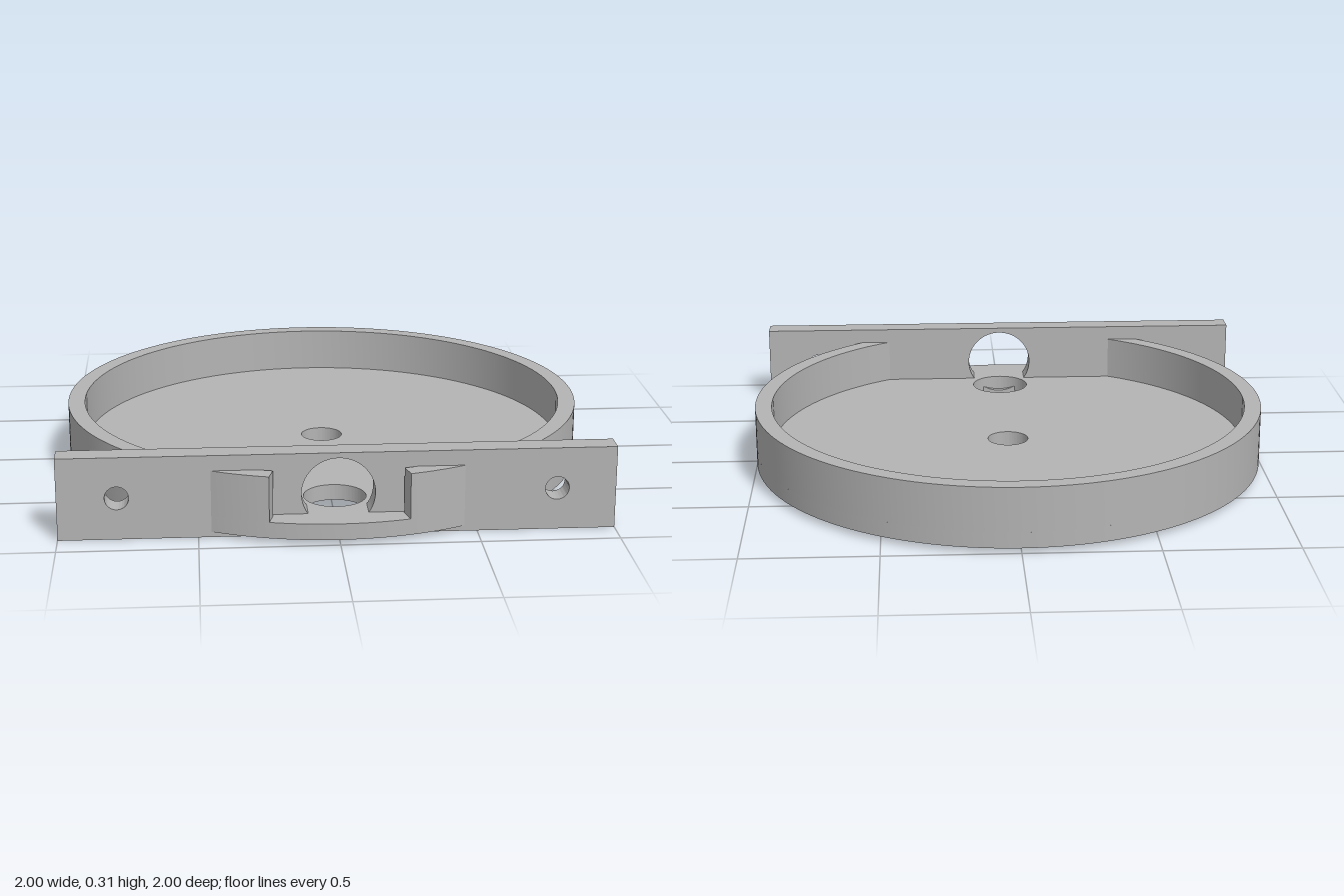
import * as THREE from 'three';
import { toCreasedNormals } from 'three/addons/utils/BufferGeometryUtils.js';

const circle = (x, y, r) => new THREE.Path().absarc(x, y, r, 0, Math.PI * 2, false);

// Extrudes a shape by depth, keeping curved sides smooth and edges sharp
function slab(shape, depth) {
  const geometry = new THREE.ExtrudeGeometry(shape, { depth, bevelEnabled: false, curveSegments: 96 });
  return toCreasedNormals(geometry, 0.5);
}

export function createModel() {
  const group = new THREE.Group();
  const grey = new THREE.MeshStandardMaterial({ color: 0xb4b4b4 });
  grey.name = 'plain grey';

  const add = (name, geometry) => {
    const mesh = new THREE.Mesh(geometry, grey);
    mesh.name = name;
    group.add(mesh);
    return mesh;
  };

  // Dish floor: disc with a centre hole and an outlet hole next to the plate
  const floor = new THREE.Shape().absarc(0, 0, 1, 0, Math.PI * 2, false);
  floor.holes.push(circle(0, 0, 0.08), circle(0, -0.71, 0.115));
  add('dishFloor', slab(floor, 0.06).rotateX(-Math.PI / 2).translate(0, 0.02, 0));

  // Dish wall: ring left open at the front, with radial ends
  const halfGap = THREE.MathUtils.degToRad(14.5);
  const start = -Math.PI / 2 + halfGap;
  const end = Math.PI * 1.5 - halfGap;
  const wall = new THREE.Shape();
  wall.absarc(0, 0, 1, start, end, false);
  wall.absarc(0, 0, 0.935, end, start, true);
  wall.closePath();
  add('dishWall', slab(wall, 0.17).rotateX(-Math.PI / 2).translate(0, 0.08, 0));

  // Mounting plate: upright bar with a large centre hole and two screw holes
  const plate = new THREE.Shape([
    new THREE.Vector2(-1, 0), new THREE.Vector2(1, 0),
    new THREE.Vector2(1, 0.307), new THREE.Vector2(-1, 0.307),
  ]);
  plate.holes.push(circle(0, 0.155, 0.132));
  for (const side of [-1, 1]) plate.holes.push(circle(side * 0.787, 0.155, 0.043));
  add('mountingPlate', slab(plate, 0.088).translate(0, 0, 0.803));

  return group;
}
